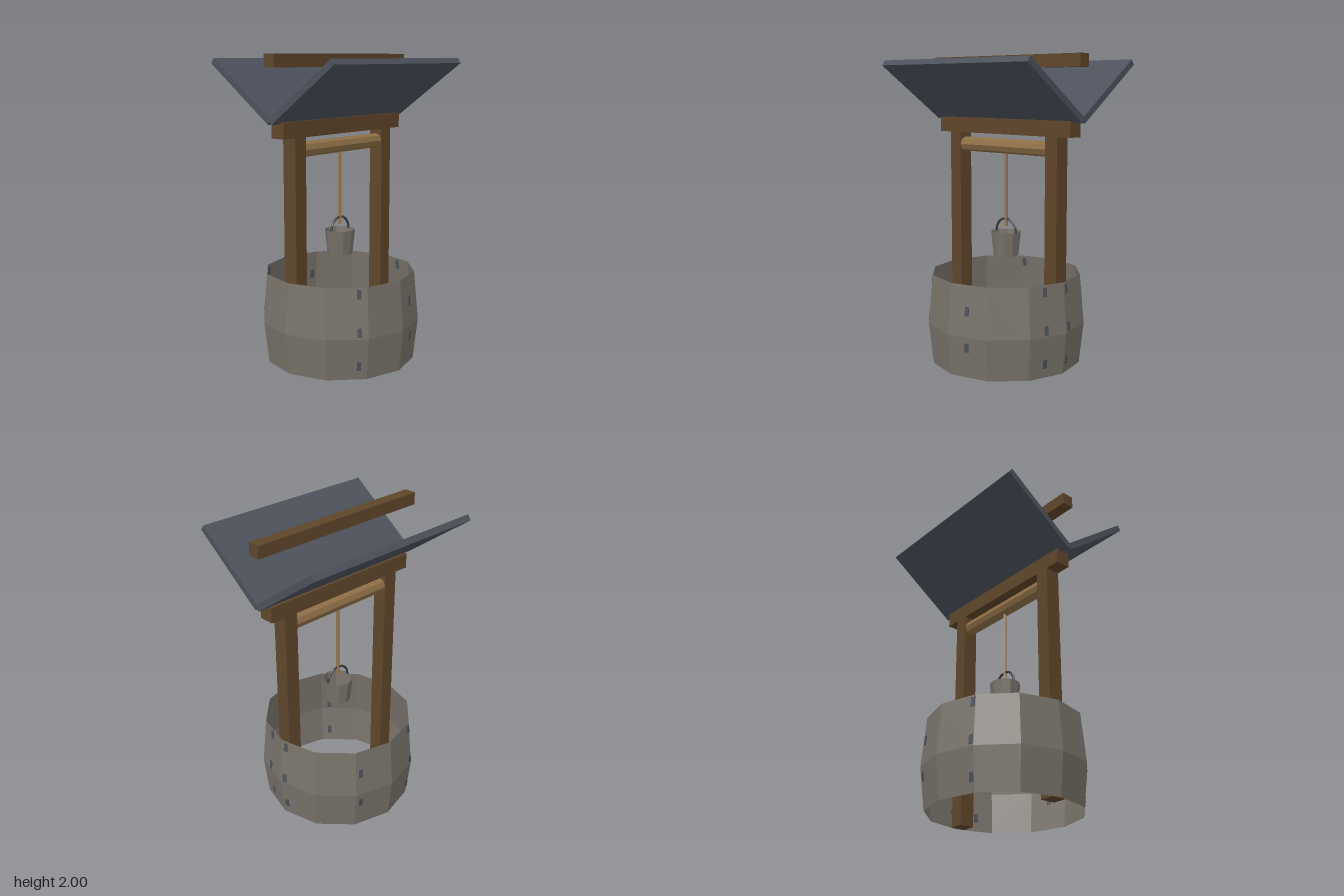
import * as THREE from 'three';

const material = (name, color, side = THREE.FrontSide) => {
  const m = new THREE.MeshStandardMaterial({ color, side, flatShading: true });
  m.name = name;
  return m;
};

export function createModel() {
  const well = new THREE.Group();
  well.name = 'well';
  const stone = material('stone', 0x78736a, THREE.DoubleSide);
  const darkStone = material('dark stone', 0x4c505c);
  const wood = material('timber', 0x5f462b);
  const paleWood = material('pale wood', 0x8d6e46);
  const rope = material('rope', 0x94784e);
  const slate = material('slate', 0x4c515b);
  const iron = material('iron', 0x3a3c40);

  const add = (name, geometry, mat, x = 0, y = 0, z = 0) => {
    const mesh = new THREE.Mesh(geometry, mat);
    mesh.name = name;
    mesh.position.set(x, y, z);
    well.add(mesh);
    return mesh;
  };
  const lathe = (points, sides) =>
    new THREE.LatheGeometry(points.map(([r, y]) => new THREE.Vector2(r, y)), sides);

  // Bulging twelve-sided wall, open at top and bottom
  const foot = 0.495, belly = 0.525, bellyY = 0.27, rimY = 0.595;
  add('wellWall', lathe([[foot, 0], [belly, bellyY], [foot, rimY]], 12), stone);

  // Small dark stones showing through both sides of the wall
  const lowRows = [0.2, 0.43], allRows = [0.09, 0.31, 0.55];
  const columns = [[14.5, lowRows], [73.5, allRows], [93.5, allRows],
    [154, lowRows], [208, allRows], [324, allRows]];
  for (const [degrees, rows] of columns) {
    for (const y of rows) {
      const t = y < bellyY ? y / bellyY : (rimY - y) / (rimY - bellyY);
      const inFace = THREE.MathUtils.degToRad((degrees % 30) - 15);
      const radius = (foot + (belly - foot) * t) * Math.cos(Math.PI / 12) / Math.cos(inFace);
      const a = THREE.MathUtils.degToRad(degrees);
      const faceAngle = THREE.MathUtils.degToRad(Math.floor(degrees / 30) * 30 + 15);
      const chip = add('wallStone', new THREE.BoxGeometry(0.027, 0.058, 0.009), darkStone,
        radius * Math.sin(a), y, radius * Math.cos(a));
      chip.rotation.order = 'YXZ';
      chip.rotation.set(y < bellyY ? 0.11 : -0.09, faceAngle, 0);
    }
  }

  // Posts, crossbeam and ridge beam
  for (const side of [-1, 1]) {
    add('post', new THREE.BoxGeometry(0.095, 1.5, 0.1), wood, side * 0.428, 0.75, 0);
  }
  add('crossbeam', new THREE.BoxGeometry(1.15, 0.1, 0.1), wood, 0, 1.55, 0);
  add('ridgeBeam', new THREE.BoxGeometry(1.28, 0.08, 0.08), wood, 0, 1.96, 0);

  // Two roof panels rising outwards from the crossbeam
  for (const side of [-1, 1]) {
    const panel = add('roofPanel', new THREE.BoxGeometry(1.28, 0.04, 0.6), slate, 0, 1.78, side * 0.245);
    panel.rotation.x = -side * THREE.MathUtils.degToRad(36);
  }

  // Windlass drum and rope
  const drum = add('windlassDrum', new THREE.CylinderGeometry(0.048, 0.048, 0.77, 8), paleWood, 0, 1.42, 0);
  drum.rotation.z = Math.PI / 2;
  add('rope', new THREE.CylinderGeometry(0.012, 0.012, 0.52, 6), rope, 0, 1.155, 0);

  // Bucket with arched handle
  add('bucket', lathe([[0, 0.7], [0.083, 0.7], [0.1, 0.86]], 10), stone);
  add('bucketHandle', new THREE.TorusGeometry(0.09, 0.008, 5, 8, Math.PI), iron, 0, 0.855, 0);

  return well;
}
